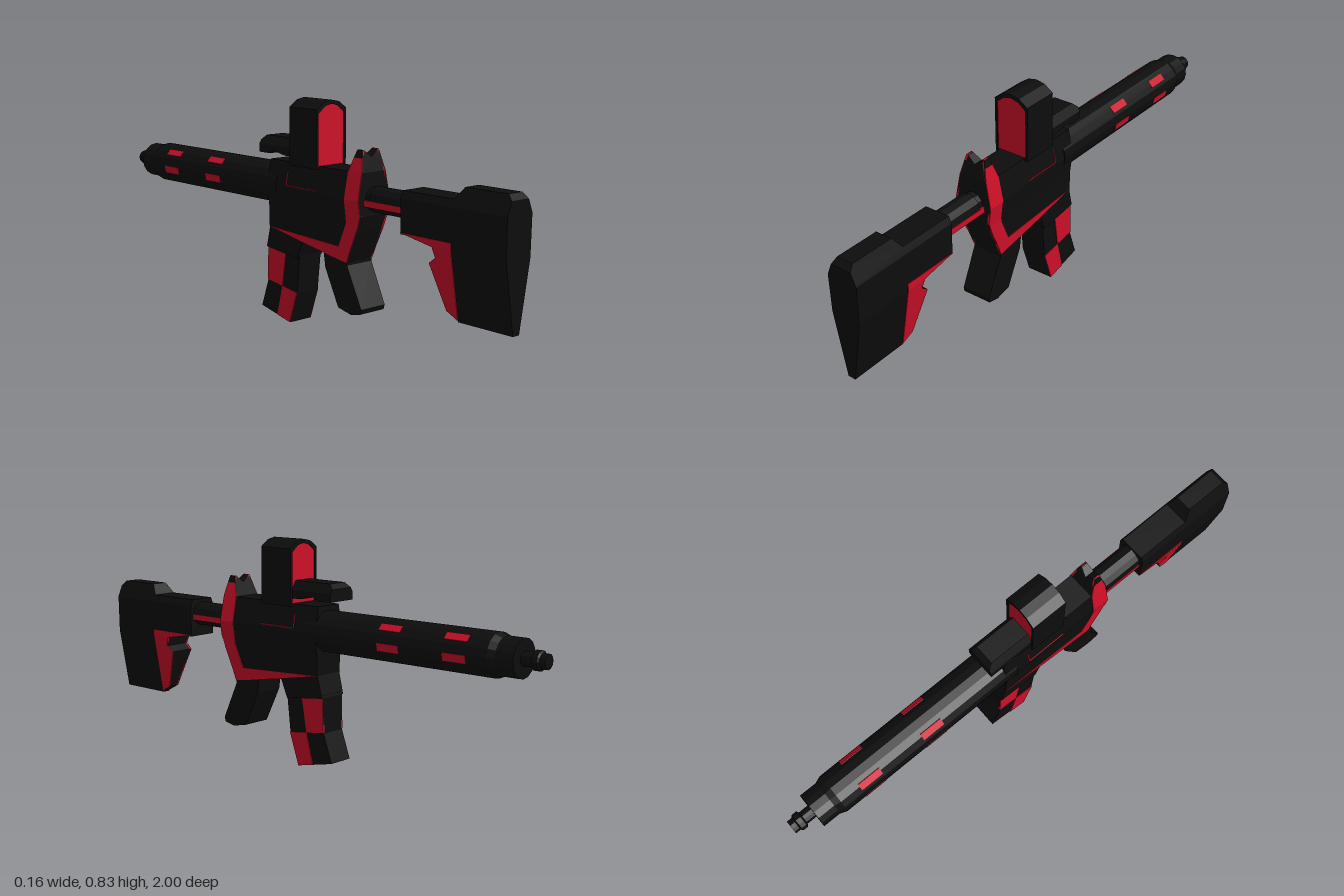
import * as THREE from 'three';

const black = new THREE.MeshStandardMaterial({ color: 0x0d0d0d, flatShading: true });
const red = new THREE.MeshStandardMaterial({ color: 0xcc0f28, flatShading: true });
const AXIS = 0.507; // height of the barrel line

// Linear lookup in [y, halfWidth] rows, lowest first
function widthAt(rows, y) {
  for (let i = 1; i < rows.length; i++) {
    const [y0, w0] = rows[i - 1], [y1, w1] = rows[i];
    if (y <= y1 || i === rows.length - 1) {
      return w0 + (w1 - w0) * THREE.MathUtils.clamp((y - y0) / (y1 - y0), 0, 1);
    }
  }
}

// Keep the part of a polygon above (sign 1) or below (sign -1) a level
function clip(pts, level, sign) {
  const out = [];
  pts.forEach((a, i) => {
    const b = pts[(i + 1) % pts.length];
    const da = (a[1] - level) * sign, db = (b[1] - level) * sign;
    if (da >= 0) out.push(a);
    if (da * db < 0) out.push([a[0] + (b[0] - a[0]) * da / (da - db), level]);
  });
  return out;
}

// Side profile of [z, y] points spread over x; lo and hi give the x range by height
function slab(group, name, pts, rows, mat, lo, hi) {
  const part = new THREE.Group();
  part.name = name;
  for (let i = 1; i < rows.length; i++) {
    const band = clip(clip(pts, rows[i - 1][0], 1), rows[i][0], -1);
    if (band.length < 3) continue;
    const shape = new THREE.Shape(band.map(p => new THREE.Vector2(p[0], p[1])));
    const geo = new THREE.ExtrudeGeometry(shape, { depth: 1, bevelEnabled: false });
    const pos = geo.attributes.position;
    for (let k = 0; k < pos.count; k++) {
      const z = pos.getX(k), y = pos.getY(k), e = pos.getZ(k);
      pos.setXYZ(k, hi(y) + (lo(y) - hi(y)) * e, y, z);
    }
    geo.computeVertexNormals();
    const mesh = new THREE.Mesh(geo, mat);
    mesh.name = name + 'Section';
    part.add(mesh);
  }
  group.add(part);
}

function solid(group, name, pts, rows, mat = black) {
  slab(group, name, pts, rows, mat, y => -widthAt(rows, y), y => widthAt(rows, y));
}

// Mirrored thin pieces lying on the two sides of a solid
function panels(group, name, pts, rows, mat = red, inner = y => widthAt(rows, y) - 0.006) {
  const outer = y => widthAt(rows, y) + 0.0025;
  slab(group, name + 'Left', pts, rows, mat, inner, outer);
  slab(group, name + 'Right', pts, rows, mat, y => -outer(y), y => -inner(y));
}

// Round part along z from [z, radius] points, running towards the muzzle
function turned(group, name, pts, sides) {
  const geo = new THREE.LatheGeometry(pts.map(([z, r]) => new THREE.Vector2(r, -z)), sides);
  geo.rotateX(-Math.PI / 2);
  const mesh = new THREE.Mesh(geo, black);
  mesh.position.y = AXIS;
  mesh.name = name;
  group.add(mesh);
}

function box(group, name, size, at, mat = red, roll = 0) {
  const mesh = new THREE.Mesh(new THREE.BoxGeometry(...size), mat);
  mesh.position.set(...at);
  mesh.rotation.z = roll;
  mesh.name = name;
  group.add(mesh);
}

export function createModel() {
  const g = new THREE.Group();
  g.name = 'rifle';

  // Stock, narrowing downwards, with a hump on top and a red insert
  const stockW = [[0.16, 0.015], [0.4, 0.058], [0.54, 0.06], [0.61, 0.03]];
  solid(g, 'stock', [[1, 0.16], [1, 0.585], [0.98, 0.605], [0.81, 0.605], [0.78, 0.565],
    [0.56, 0.565], [0.56, 0.42], [0.78, 0.42], [0.78, 0.16]], stockW);
  const insert = [[0.78, 0.425], [0.56, 0.425], [0.7, 0.4], [0.71, 0.365], [0.68, 0.343],
    [0.735, 0.19], [0.78, 0.165]];
  solid(g, 'stockInsertCore', insert, stockW);
  panels(g, 'stockInsert', insert, stockW);

  // Stock tube with a red stripe on each side
  turned(g, 'stockTube', [[0.58, 0], [0.58, 0.047], [0.4, 0.047], [0.4, 0.042], [0.28, 0.042], [0.28, 0]], 12);
  for (const s of [-1, 1]) box(g, 'tubeStripe', [0.012, 0.022, 0.22], [s * 0.043, 0.496, 0.46]);

  // Receiver with a fin at the rear and red trim
  const bodyW = [[0.27, 0.06], [0.43, 0.064], [0.505, 0.074], [0.6, 0.055], [0.65, 0.043], [0.68, 0.034]];
  solid(g, 'receiver', [[0.33, 0.6], [0.33, 0.33], [0.27, 0.325], [-0.1, 0.345], [-0.1, 0.6]], bodyW);
  const fin = [[0.36, 0.675], [0.335, 0.675], [0.31, 0.6], [0.31, 0.42], [0.27, 0.33], [0.31, 0.28],
    [0.33, 0.33], [0.36, 0.395], [0.38, 0.45], [0.376, 0.6]];
  solid(g, 'rearFin', clip(fin, 0.65, -1), bodyW);
  panels(g, 'finEar', clip(fin, 0.648, 1), bodyW, black,
    y => THREE.MathUtils.clamp((y - 0.655) * 1.6, 0, 0.033));
  panels(g, 'finTrim', fin, bodyW);
  const strip = [[0.31, 0.28], [0.27, 0.333], [-0.1, 0.35], [0.09, 0.315]];
  solid(g, 'receiverFloor', strip, bodyW);
  panels(g, 'receiverTrim', strip, bodyW);

  // Port edging on the upper sides
  for (const s of [-1, 1]) {
    box(g, 'portLedge', [0.006, 0.003, 0.16], [s * 0.073, 0.515, 0.085]);
    box(g, 'portEnd', [0.004, 0.05, 0.003], [s * 0.067, 0.54, 0.005], red, s * 0.2);
  }

  // Pistol grip
  solid(g, 'grip', [[0.31, 0.3], [0.31, 0.27], [0.38, 0.125], [0.375, 0.108], [0.33, 0.098],
    [0.265, 0.112], [0.2, 0.245], [0.19, 0.31]], [[0.09, 0.057], [0.31, 0.06]]);

  // Magazine well and magazine with a checker on both sides
  solid(g, 'magazineWell', [[0.09, 0.33], [0.075, 0.31], [0.05, 0.25], [-0.12, 0.27], [-0.1, 0.35]],
    [[0.2, 0.058], [0.36, 0.06]]);
  const magW = [[0, 0.05], [0.3, 0.052]];
  solid(g, 'magazine', [[0.055, 0.265], [0.04, 0.12], [0, 0], [-0.16, 0.035], [-0.122, 0.14],
    [-0.118, 0.28]], magW);
  panels(g, 'upperCheck', [[-0.02, 0.257], [-0.04, 0.132], [-0.122, 0.143], [-0.118, 0.27]], magW);
  panels(g, 'lowerCheck', [[0.04, 0.12], [0, 0.001], [-0.07, 0.016], [-0.04, 0.132]], magW);

  // Handguard and muzzle
  turned(g, 'handguard', [[-0.05, 0], [-0.05, 0.077], [-0.82, 0.077], [-0.845, 0.067],
    [-0.912, 0.067], [-0.912, 0]], 16);
  turned(g, 'muzzle', [[-0.9, 0.025], [-0.95, 0.025], [-0.955, 0.034], [-0.975, 0.034],
    [-0.98, 0.026], [-1, 0.026], [-1, 0]], 12);

  // Two rows of red vents on each side of the handguard
  for (const z of [-0.425, -0.695]) {
    for (const s of [-1, 1]) {
      for (const a of [0.75, -0.2]) {
        box(g, 'vent', [0.006, 0.028, 0.09],
          [s * Math.cos(a) * 0.0745, AXIS + Math.sin(a) * 0.0745, z], red, s * a);
      }
    }
  }

  // Sight hood: an arched frame around a red lens
  const arch = (w, y0, top) => [[-w, y0], [w, y0], [w, top - 0.031], [w / 2, top - 0.007],
    [0, top], [-w / 2, top - 0.007], [-w, top - 0.031]].map(p => new THREE.Vector2(...p));
  const hoodShape = new THREE.Shape(arch(0.07, 0.59, 0.83));
  hoodShape.holes.push(new THREE.Path(arch(0.061, 0.6, 0.816)));
  const extrude = (name, shape, z0, depth, mat) => {
    const mesh = new THREE.Mesh(new THREE.ExtrudeGeometry(shape, { depth, bevelEnabled: false }), mat);
    mesh.position.z = z0;
    mesh.name = name;
    g.add(mesh);
  };
  extrude('sightHood', hoodShape, 0.02, 0.145, black);
  extrude('sightLens', new THREE.Shape(arch(0.062, 0.598, 0.817)), 0.024, 0.137, red);

  // Sight arm reaching over the handguard
  solid(g, 'sightArm', [[0.03, 0.683], [-0.14, 0.683], [-0.16, 0.665], [-0.16, 0.62], [-0.1, 0.62],
    [-0.08, 0.632], [-0.02, 0.62], [0.03, 0.62]], [[0.61, 0.06], [0.65, 0.06], [0.69, 0.035]]);
  return g;
}
